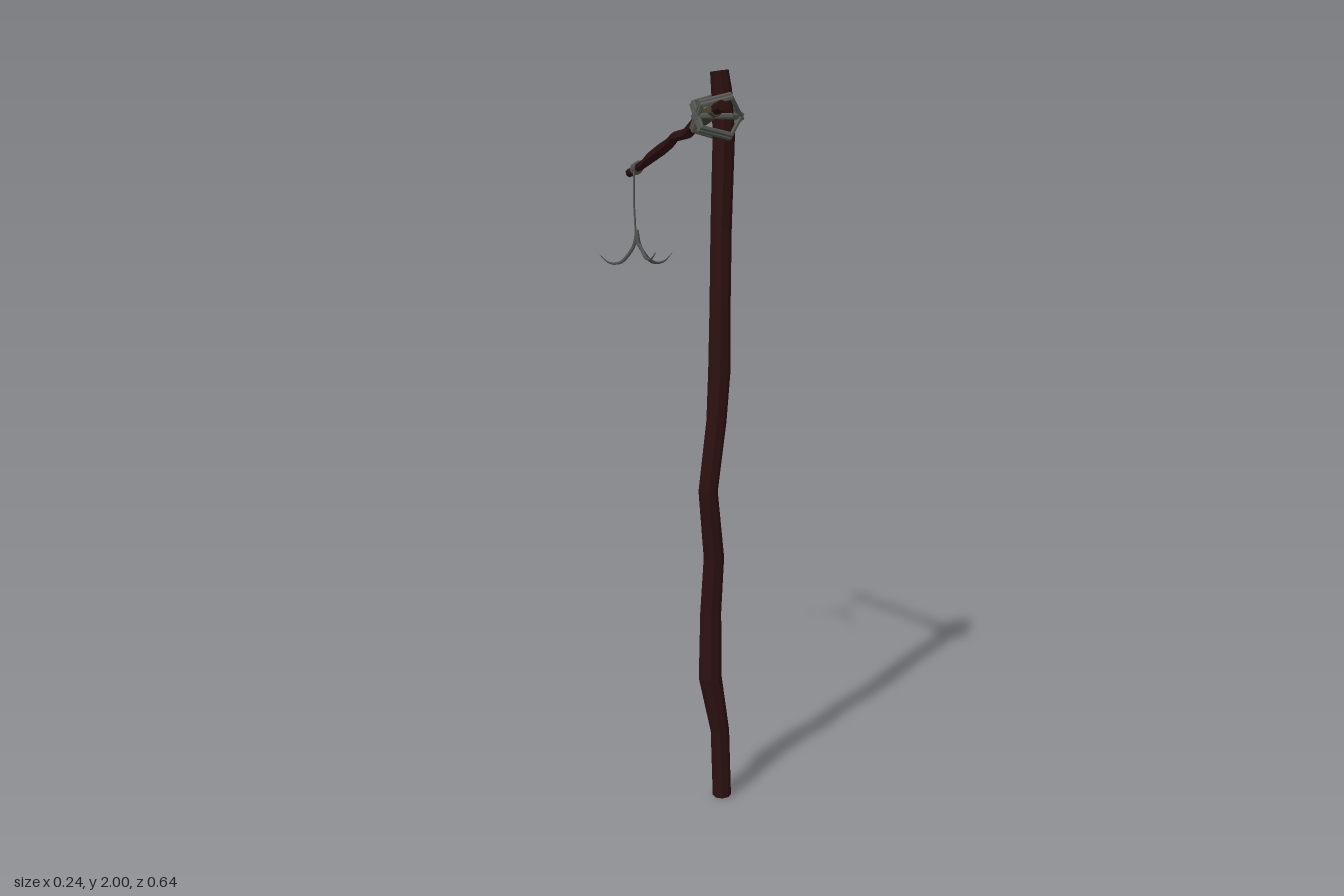
import * as THREE from 'three';

const wood = new THREE.MeshStandardMaterial({ color: 0x2c1110 });
wood.name = 'dark wood';
const rope = new THREE.MeshStandardMaterial({ color: 0x555852 });
rope.name = 'grey rope';
const oldRope = new THREE.MeshStandardMaterial({ color: 0x48452c });
oldRope.name = 'olive rope';
const iron = new THREE.MeshStandardMaterial({ color: 0x50534f });
iron.name = 'dull iron';

// Sweeps a polygon along stations [x, y, z, radius]
function sweep(name, stations, sides, ref, material, { closed = false, smooth = false } = {}) {
  const pts = stations.map(s => new THREE.Vector3(s[0], s[1], s[2]));
  const n = pts.length, pos = [], idx = [];
  pts.forEach((p, i) => {
    const prev = closed ? pts[(i + n - 1) % n] : pts[Math.max(i - 1, 0)];
    const next = closed ? pts[(i + 1) % n] : pts[Math.min(i + 1, n - 1)];
    const t = next.clone().sub(prev).normalize();
    const b = ref.clone().addScaledVector(t, -ref.dot(t)).normalize();
    const m = b.clone().cross(t);
    for (let j = 0; j < sides; j++) {
      const a = (j + 0.5) / sides * Math.PI * 2;
      const v = p.clone().addScaledVector(m, Math.cos(a) * stations[i][3])
        .addScaledVector(b, Math.sin(a) * stations[i][3]);
      pos.push(v.x, v.y, v.z);
    }
  });
  for (let i = 0; i < (closed ? n : n - 1); i++) {
    for (let j = 0; j < sides; j++) {
      const k = (j + 1) % sides, r = i * sides, q = ((i + 1) % n) * sides;
      idx.push(r + j, r + k, q + k, r + j, q + k, q + j);
    }
  }
  if (!closed) {
    for (let j = 1; j < sides - 1; j++) {
      const e = (n - 1) * sides;
      idx.push(0, j + 1, j, e, e + j, e + j + 1);
    }
  }
  let geo = new THREE.BufferGeometry();
  geo.setAttribute('position', new THREE.Float32BufferAttribute(pos, 3));
  geo.setIndex(idx);
  if (!smooth) geo = geo.toNonIndexed();
  geo.computeVertexNormals();
  const mesh = new THREE.Mesh(geo, material);
  mesh.name = name;
  return mesh;
}

export function createModel() {
  const group = new THREE.Group();
  group.name = 'hookedPole';
  const X = new THREE.Vector3(1, 0, 0), Y = new THREE.Vector3(0, 1, 0), Z = new THREE.Vector3(0, 0, 1);

  // Crooked upright post
  group.add(sweep('post', [
    [0.0, 0.005, 0.285, 0.026], [-0.005, 0.2, 0.28, 0.026], [-0.03, 0.36, 0.267, 0.032],
    [-0.027, 0.55, 0.262, 0.029], [-0.023, 0.71, 0.272, 0.028], [-0.043, 0.9, 0.275, 0.026],
    [-0.017, 1.09, 0.27, 0.027], [-0.004, 1.23, 0.26, 0.03], [0.004, 1.4, 0.245, 0.028],
    [0.008, 1.6, 0.24, 0.028], [0.015, 1.84, 0.238, 0.029], [0.008, 1.95, 0.238, 0.027],
    [0.002, 2.0, 0.236, 0.024],
  ], 8, Z, wood));

  // Thin crooked arm tied beside the post
  group.add(sweep('arm', [
    [-0.028, 1.912, 0.315, 0.015], [-0.033, 1.88, 0.2, 0.019], [-0.02, 1.842, 0.085, 0.015],
    [-0.031, 1.833, 0.03, 0.014], [-0.021, 1.815, -0.03, 0.015], [-0.021, 1.798, -0.085, 0.017],
    [-0.027, 1.777, -0.14, 0.016], [-0.024, 1.757, -0.2, 0.012], [-0.022, 1.727, -0.315, 0.013],
  ], 7, Y, wood));

  // Lashing: crossed loops round post and arm, each of two strands
  const outline = [[-0.062, -0.034], [0.015, -0.054], [0.064, 0], [0.015, 0.054], [-0.062, 0.034]];
  const lashing = new THREE.Group();
  lashing.name = 'lashing';
  for (const side of [-1, 1]) {
    const normal = new THREE.Vector3(0, 0.72, -0.95 * side).normalize();
    for (const strand of [-1, 1]) {
      lashing.add(sweep('lashingLoop', outline.map(([x, u]) => [
        x, 1.886 + u * 0.93 * side + normal.y * strand * 0.006,
        0.238 + u * 0.72 + normal.z * strand * 0.006, 0.0075,
      ]), 6, normal, rope, { closed: true }));
    }
  }
  lashing.add(sweep('middleLoop', outline.map(([x, u]) => [x * 0.95, 1.886, 0.238 + u * 0.82, 0.0075]),
    6, Y, rope, { closed: true }));
  lashing.add(sweep('armBinding', [[-0.03, 1.903, 0.285, 0.018], [-0.032, 1.88, 0.2, 0.021]], 7, Y, oldRope));
  group.add(lashing);

  // Coils near the tip of the arm
  for (let i = 0; i < 3; i++) {
    const coil = new THREE.Mesh(new THREE.TorusGeometry(0.015, 0.005, 5, 10), rope);
    coil.name = 'tipCoil';
    coil.position.set(-0.021, 1.741 + i * 0.003, -0.266 + i * 0.009);
    coil.rotation.set(0.25, (i - 1) * 0.12, 0);
    group.add(coil);
  }

  // Hanging cord
  group.add(sweep('cord', [
    [-0.034, 1.74, -0.25, 0.003], [-0.036, 1.65, -0.25, 0.003], [-0.03, 1.54, -0.25, 0.003],
  ], 5, Z, rope));

  // Three-pronged hook: each prong drops, sweeps out and turns up at the point
  const prongs = [[-0.119, 1.49, -0.317], [0.116, 1.487, -0.315], [-0.03, 1.512, -0.103]];
  for (const [x, y, z] of prongs) {
    const cx = -0.027, cz = -0.25, dx = x - cx, dz = z - cz;
    const curve = new THREE.CatmullRomCurve3([
      [0, 1.565], [0.06, 1.525], [0.2, y + 0.006], [0.45, y - 0.022], [0.75, y - 0.023], [1, y],
    ].map(([f, h]) => new THREE.Vector3(cx + dx * f, h, cz + dz * f)));
    const stations = curve.getPoints(14).map((p, i) => [p.x, p.y, p.z, i < 9 ? 0.0055 : 0.0055 - (i - 8) * 0.0008]);
    const across = new THREE.Vector3(-dz, 0, dx).normalize();
    group.add(sweep('hookProng', stations, 6, across, iron, { smooth: true }));
  }
  return group;
}
